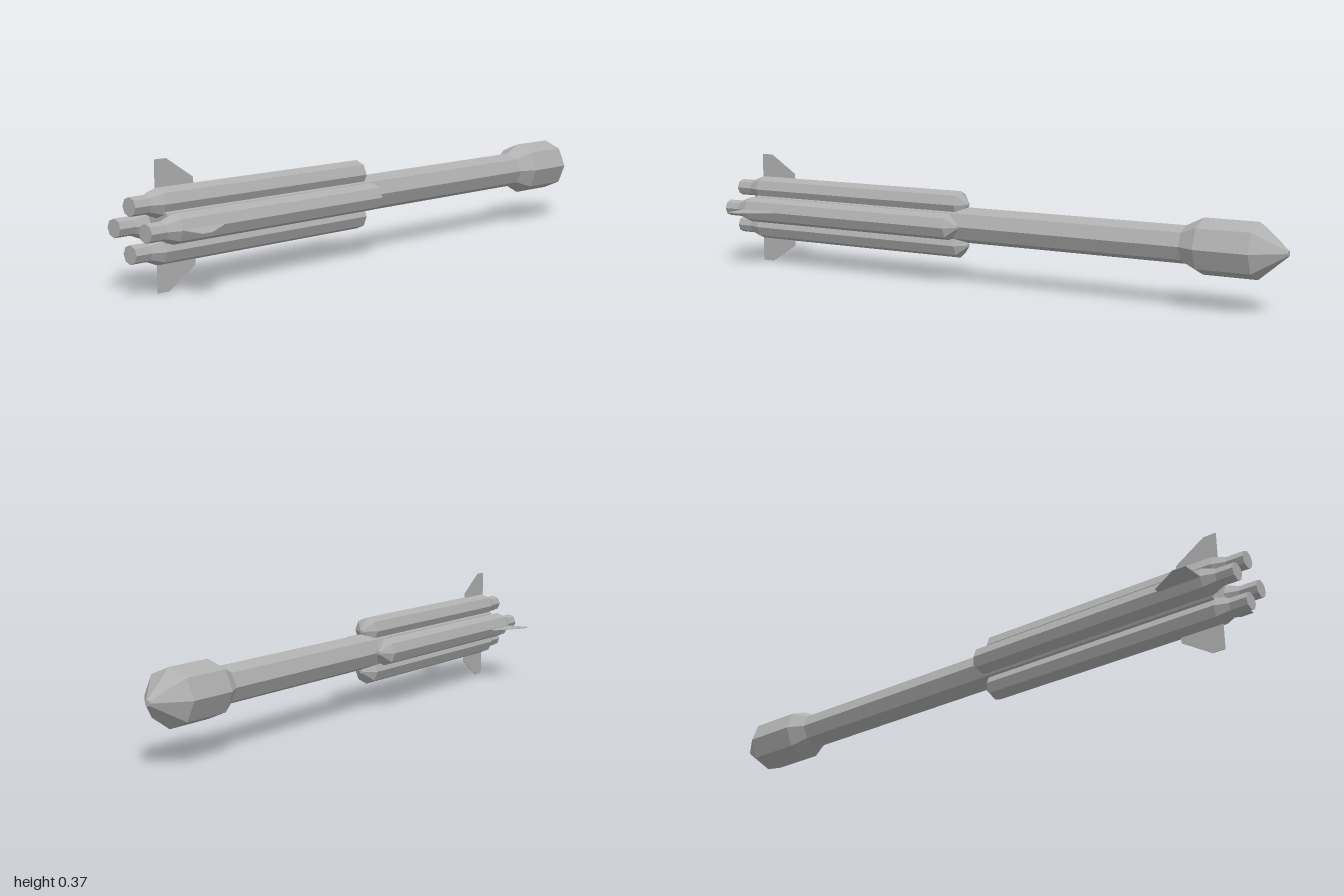
import * as THREE from 'three';

const AXIS_Y = 0.184; // height of the long axis

// Eight-sided body of revolution along x, from [x, radius] pairs
function turned(name, profile, material) {
  const points = profile.map(([x, r]) => new THREE.Vector2(r, x));
  const geometry = new THREE.LatheGeometry(points, 8);
  geometry.rotateZ(-Math.PI / 2);
  const mesh = new THREE.Mesh(geometry, material);
  mesh.name = name;
  return mesh;
}

export function createModel() {
  const grey = new THREE.MeshStandardMaterial({ color: 0xb0b0b0, flatShading: true });
  grey.name = 'light grey';

  const rocket = new THREE.Group();
  rocket.name = 'rocket';
  rocket.position.y = AXIS_Y;

  // Core stage
  rocket.add(turned('coreStage', [
    [-0.905, 0], [-0.905, 0.057], [0.685, 0.057],
  ], grey));

  // Payload fairing with its blunt nose
  rocket.add(turned('fairing', [
    [0.685, 0.057], [0.74, 0.084], [0.91, 0.084], [1, 0.009], [1, 0],
  ], grey));

  // Fin outline, reaching into the booster
  const finShape = new THREE.Shape([
    [-0.908, 0.09], [-0.77, 0.09], [-0.77, 0.123], [-0.867, 0.184], [-0.908, 0.184],
  ].map(([x, y]) => new THREE.Vector2(x, y)));
  const finGeometry = new THREE.ExtrudeGeometry(finShape, { depth: 0.002, bevelEnabled: false });
  finGeometry.translate(0, 0, -0.003);

  // Four boosters around the core, each with nozzle, nose and fin
  for (let i = 0; i < 4; i++) {
    const unit = new THREE.Group();
    unit.name = 'boosterUnit' + (i + 1);
    unit.rotation.x = i * Math.PI / 2;

    const booster = turned('booster', [
      [-0.945, 0.027], [-0.905, 0.042], [-0.098, 0.042], [-0.068, 0.006], [-0.068, 0],
    ], grey);
    booster.position.y = 0.065;

    const nozzle = turned('nozzle', [
      [-1, 0], [-1, 0.027], [-0.945, 0.027],
    ], grey);
    nozzle.position.y = 0.065;

    const fin = new THREE.Mesh(finGeometry, grey);
    fin.name = 'fin';

    unit.add(booster, nozzle, fin);
    rocket.add(unit);
  }

  const model = new THREE.Group();
  model.name = 'model';
  model.add(rocket);
  return model;
}
